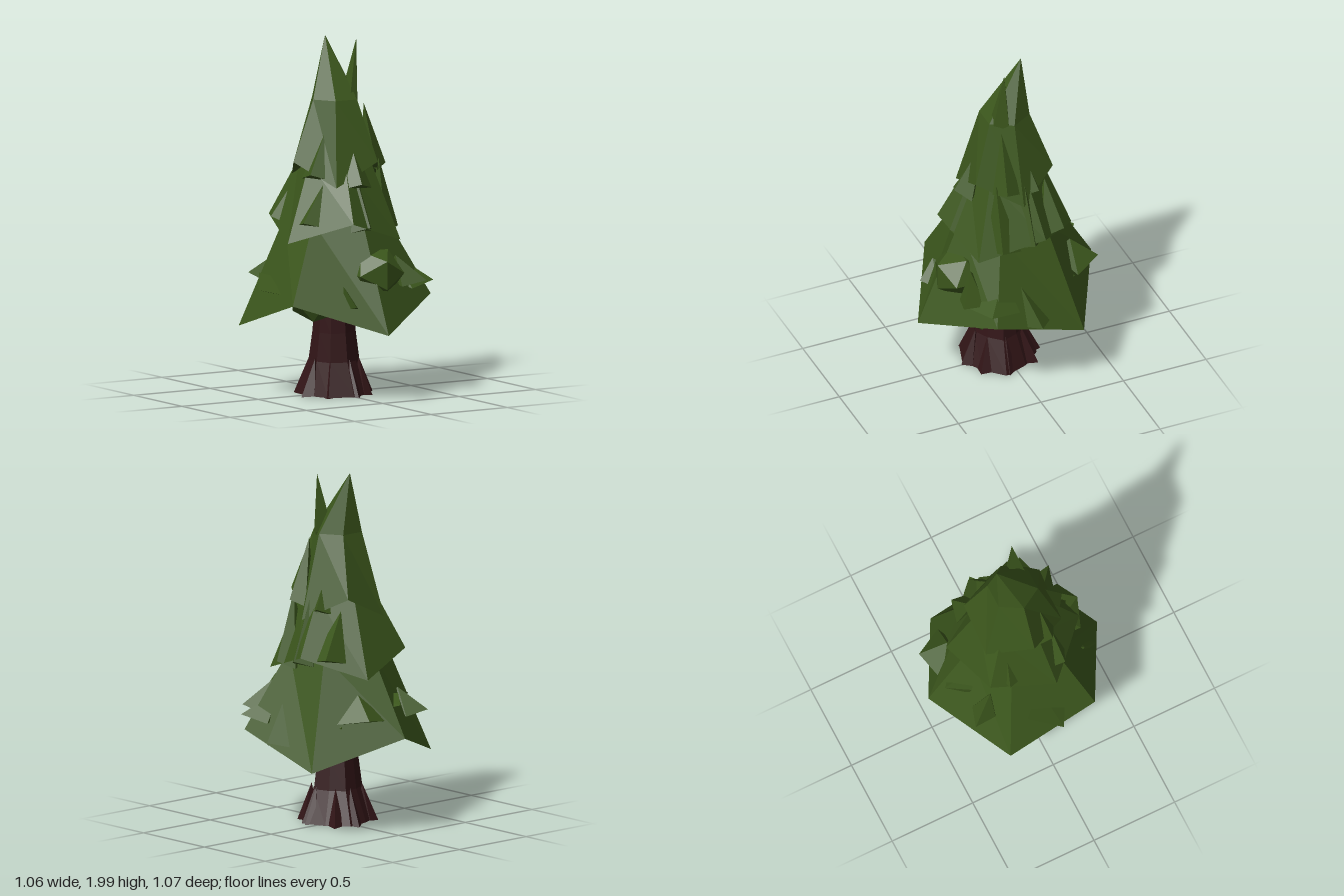
import * as THREE from 'three';
import { ConvexGeometry } from 'three/addons/geometries/ConvexGeometry.js';

const green = new THREE.MeshStandardMaterial({ color: 0x3b561c, flatShading: true });
const brown = new THREE.MeshStandardMaterial({ color: 0x321517, flatShading: true });
const V = (x, y, z) => new THREE.Vector3(x, y, z);
const polar = (r, a, y) => V(r * Math.cos(a), y, r * Math.sin(a));

// Closed surface lofted through equal rings of points, each end fanned to a centre point
function loft(bottom, rings, top) {
  const pos = [];
  const tri = (...points) => points.forEach(p => pos.push(p.x, p.y, p.z));
  const n = rings[0].length;
  for (let i = 0; i < n; i++) {
    const j = (i + 1) % n;
    tri(bottom, rings[0][i], rings[0][j]);
    for (let k = 0; k + 1 < rings.length; k++) {
      const a = rings[k], b = rings[k + 1];
      tri(a[i], b[i], b[j]);
      tri(a[i], b[j], a[j]);
    }
    const last = rings[rings.length - 1];
    tri(last[i], top, last[j]);
  }
  const geometry = new THREE.BufferGeometry();
  geometry.setAttribute('position', new THREE.Float32BufferAttribute(pos, 3));
  geometry.computeVertexNormals();
  return geometry;
}

// Six-cornered skirt whose corners alternate low and high, hollowed underneath
function tier({ turn, r, low, high, hollow, shoulderScale, shoulderY, apex }) {
  const rim = Array.from({ length: 6 }, (_, i) =>
    polar(r, THREE.MathUtils.degToRad(turn + i * 60), i % 2 ? high : low));
  const shoulder = rim.map(c => V(c.x * shoulderScale, shoulderY, c.z * shoulderScale));
  return loft(V(0, hollow, 0), [rim, shoulder], apex);
}

// Drooping wedge from a top point to an outer tip, spread to both sides near the tip
function sprig(top, tip, spread) {
  const side = V(-tip.z, 0, tip.x).setLength(spread);
  const inner = V(tip.x * 0.78, tip.y - 0.03, tip.z * 0.78);
  return new ConvexGeometry([
    top, tip, inner.clone().add(side), inner.clone().sub(side),
    V(tip.x * 0.5, tip.y + 0.02, tip.z * 0.5),
  ]);
}

export function createModel() {
  const tree = new THREE.Group();
  tree.name = 'pineTree';
  const add = (name, geometry, material, parent = tree) => {
    const mesh = new THREE.Mesh(geometry, material);
    mesh.name = name;
    parent.add(mesh);
    return mesh;
  };
  const group = name => {
    const g = new THREE.Group();
    g.name = name;
    tree.add(g);
    return g;
  };

  // Trunk with an uneven flared foot
  const base = group('base');
  base.position.set(-0.02, 0, 0.03);
  const wobble = [0.02, -0.015, 0.01, 0.02, -0.01, 0.015, -0.02, 0.01, -0.01];
  const trunkRing = (r, y, uneven) =>
    wobble.map((w, i) => polar(r + uneven * w, 0.2 + (i / 9) * Math.PI * 2, y));
  add('trunk', loft(V(0, 0.03, 0), [
    trunkRing(0.205, 0.015, 1), trunkRing(0.135, 0.2, 0.6),
    trunkRing(0.115, 0.36, 0.5), trunkRing(0.105, 0.5, 0.4),
  ], V(0, 0.8, -0.03)), brown, base);

  // Roots: angle and reach
  [[0.1, 0.22], [0.85, 0.22], [1.5, 0.23], [2.3, 0.23], [3.0, 0.24], [3.9, 0.23], [4.9, 0.24], [5.5, 0.24]]
    .forEach(([a, reach]) => add('root', new ConvexGeometry([
      polar(reach, a, 0.01), polar(reach - 0.01, a, 0.03), polar(0.19, a - 0.25, 0.015),
      polar(0.19, a + 0.2, 0.015), polar(0.14, a, 0.22), polar(0.1, a, 0.02),
    ]), brown, base));

  // Three skirts of foliage
  add('lowerTier', tier({
    turn: 88, r: 0.533, low: 0.39, high: 0.56, hollow: 0.72,
    shoulderScale: 0.52, shoulderY: 1.0, apex: V(0, 1.4, 0),
  }), green);
  add('middleTier', tier({
    turn: 46, r: 0.375, low: 0.88, high: 1.0, hollow: 1.0,
    shoulderScale: 0.54, shoulderY: 1.32, apex: V(0, 1.7, 0),
  }), green);
  add('upperTier', tier({
    turn: 0, r: 0.27, low: 1.19, high: 1.32, hollow: 1.3,
    shoulderScale: 0.52, shoulderY: 1.66, apex: V(0, 2, -0.1),
  }), green);

  // Narrow second treetop
  add('secondTreetop', new ConvexGeometry([
    V(0.11, 1.99, 0.05), V(0.04, 1.68, 0.1), V(0.13, 1.66, 0.03), V(0.05, 1.7, 0), V(0.08, 1.6, 0.11),
  ]), green);

  // Sprigs per tier: top x y z, tip x y z, spread
  const sprigs = group('sprigs');
  const upper = [
    [0.14, 1.63, 0.08, 0.27, 1.29, 0.1, 0.08],
    [-0.13, 1.48, 0.1, -0.24, 1.26, 0.13, 0.09],
    [0, 1.5, 0.13, -0.01, 1.21, 0.3, 0.1],
    [0.13, 1.47, -0.05, 0.25, 1.26, -0.1, 0.06],
  ];
  const middle = [
    [0.2, 1.33, 0.14, 0.32, 0.94, 0.15, 0.1],
    [0.22, 1.33, -0.02, 0.36, 0.97, -0.03, 0.08],
    [0.14, 1.25, -0.18, 0.3, 1.0, -0.23, 0.1],
    [-0.16, 1.22, 0.15, -0.31, 1.0, 0.17, 0.1],
    [0, 1.25, 0.22, 0.02, 0.97, 0.34, 0.08],
    [-0.18, 1.2, -0.13, -0.31, 1.0, -0.17, 0.07],
  ];
  const lower = [
    [0.3, 0.79, 0.08, 0.53, 0.53, 0, 0.1],
    [0.3, 0.78, 0.14, 0.47, 0.64, 0.28, 0.14],
    [-0.42, 0.7, -0.12, -0.53, 0.63, 0.05, 0.08],
    [0.15, 0.8, -0.33, 0.2, 0.68, -0.48, 0.15],
    [-0.22, 0.78, -0.25, -0.32, 0.66, -0.39, 0.07],
    [0.21, 0.8, 0.3, 0.35, 0.66, 0.4, 0.08],
    [-0.17, 0.66, 0.36, -0.14, 0.55, 0.45, 0.05],
    [-0.15, 0.77, -0.33, -0.06, 0.73, -0.45, 0.09],
  ];
  [...upper, ...middle, ...lower].forEach(s =>
    add('sprig', sprig(V(s[0], s[1], s[2]), V(s[3], s[4], s[5]), s[6]), green, sprigs));

  // Rounder clumps: position, size
  const clumps = group('clumps');
  [
    [[0.07, 0.71, 0.3], [0.17, 0.15, 0.16]], // front bump
    // under the lowest skirt
    [[0.14, 0.52, 0.22], [0.18, 0.15, 0.18]],
    [[0.18, 0.56, -0.18], [0.18, 0.13, 0.18]],
    [[-0.2, 0.57, 0.14], [0.18, 0.14, 0.17]],
  ].forEach(([p, s], i) => {
    const clump = add('clump', new THREE.IcosahedronGeometry(1, 0), green, clumps);
    clump.position.set(...p);
    clump.scale.set(...s);
    clump.rotation.y = i * 1.3;
  });

  return tree;
}
